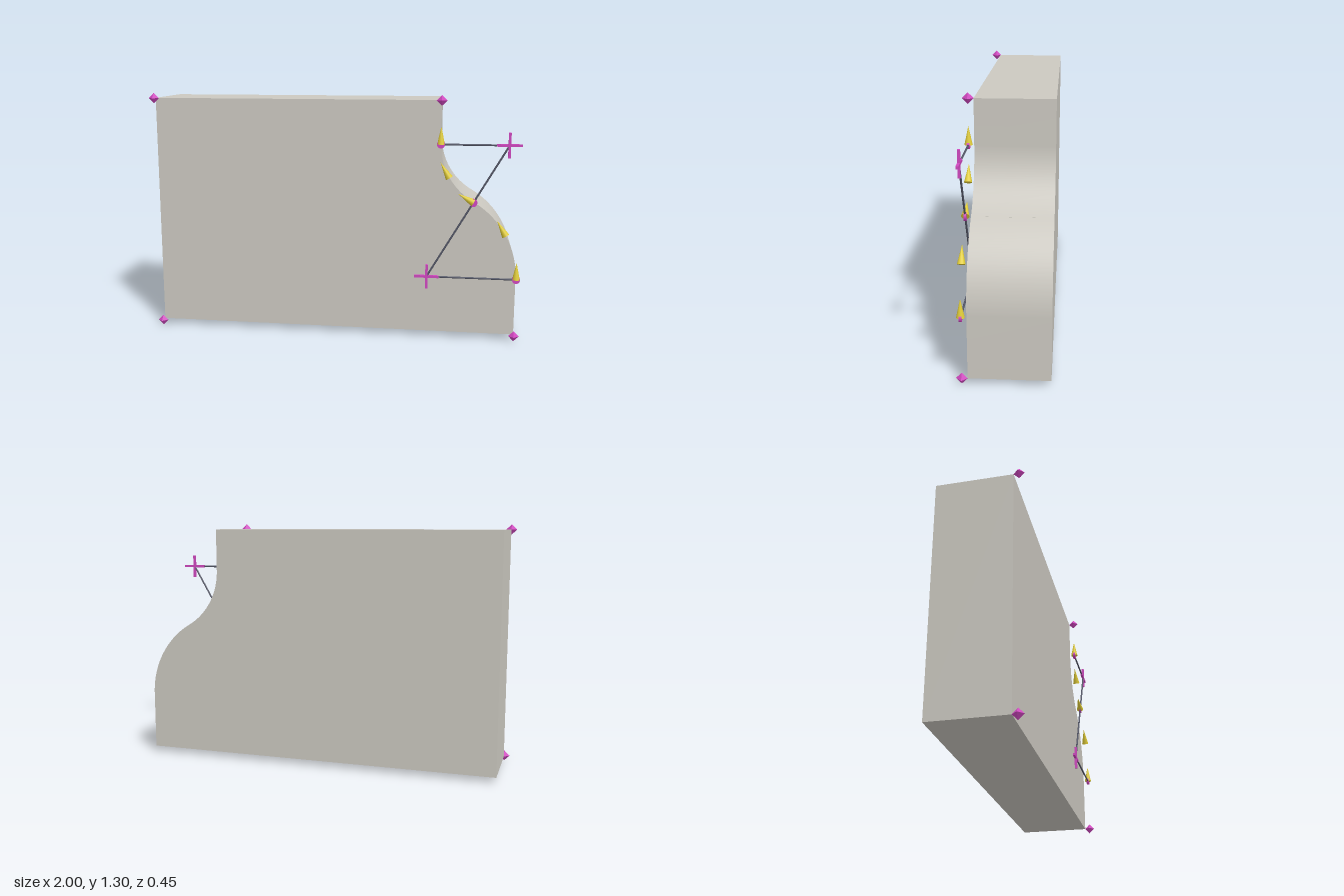
import * as THREE from 'three';
import { toCreasedNormals } from 'three/addons/utils/BufferGeometryUtils.js';

const stone = new THREE.MeshStandardMaterial({ name: 'warm grey', color: 0xcbc8c0 });
const magenta = new THREE.MeshStandardMaterial({ name: 'magenta', color: 0xd048c0 });
const yellow = new THREE.MeshStandardMaterial({ name: 'yellow', color: 0xe0cc38 });
const slate = new THREE.MeshStandardMaterial({ name: 'dark slate', color: 0x555868 });

// Outline of the moulding: two tangent arcs meeting on the line between their centres
const LEFT = -0.971, RIGHT = 0.971, BOTTOM = 0.028, TOP = 1.272, STEP = 0.563;
const BACK = -0.223, FRONT = 0.168, MARK_Z = 0.195;
const lower = { x: 0.503, y: 0.34, r: 0.468 };
const upper = { x: 0.911, y: 1.047, r: 0.348 };
const rad = THREE.MathUtils.degToRad;

const onArc = (arc, deg) => new THREE.Vector3(
  arc.x + arc.r * Math.cos(rad(deg)), arc.y + arc.r * Math.sin(rad(deg)), MARK_Z);

export function createModel() {
  const model = new THREE.Group();
  model.name = 'ogeeProfileDiagram';

  const add = (name, geometry, material, position) => {
    const mesh = new THREE.Mesh(geometry, material);
    mesh.name = name;
    if (position) mesh.position.copy(position);
    model.add(mesh);
    return mesh;
  };
  const up = new THREE.Vector3(0, 1, 0);

  // Extruded moulding block
  const shape = new THREE.Shape();
  shape.moveTo(LEFT, BOTTOM);
  shape.lineTo(RIGHT, BOTTOM);
  shape.absarc(lower.x, lower.y, lower.r, 0, rad(60), false);
  shape.absarc(upper.x, upper.y, upper.r, rad(240), rad(180), true);
  shape.lineTo(STEP, TOP);
  shape.lineTo(LEFT, TOP);
  shape.closePath();
  const block = new THREE.ExtrudeGeometry(shape, {
    depth: FRONT - BACK, bevelEnabled: false, curveSegments: 32 });
  block.translate(0, 0, BACK);
  add('mouldingBlock', toCreasedNormals(block, rad(30)), stone);

  // Diamonds on the straight corners
  for (const [x, y] of [[LEFT, BOTTOM], [RIGHT, BOTTOM], [STEP, TOP], [LEFT, TOP]]) {
    add('cornerDiamond', new THREE.OctahedronGeometry(0.028), magenta, new THREE.Vector3(x, y, MARK_Z));
  }

  // Small discs where the arcs begin and end
  const start = onArc(lower, 0), joint = onArc(lower, 60), end = onArc(upper, 180);
  const disc = new THREE.CylinderGeometry(0.021, 0.021, 0.013, 20).rotateX(Math.PI / 2);
  for (const p of [start, joint, end]) add('arcEndDisc', disc, magenta, p);

  // Crosses at the arc centres, with radius rods to the arc ends
  for (const [arc, ends] of [[lower, [start, joint]], [upper, [joint, end]]]) {
    const centre = new THREE.Vector3(arc.x, arc.y, MARK_Z);
    add('centreCrossBar', new THREE.BoxGeometry(0.13, 0.013, 0.013), magenta, centre);
    add('centreCrossPost', new THREE.BoxGeometry(0.013, 0.13, 0.013), magenta, centre);
    for (const p of ends) {
      const along = p.clone().sub(centre);
      const rod = add('radiusRod', new THREE.CylinderGeometry(0.005, 0.005, along.length(), 8),
        slate, centre.clone().add(p).multiplyScalar(0.5));
      rod.quaternion.setFromUnitVectors(up, along.normalize());
    }
  }

  // Direction cones: base on the curve, tip along the tangent
  const cone = new THREE.ConeGeometry(0.02, 0.092, 16).translate(0, 0.046, 0);
  for (const [arc, deg, tilt] of [[lower, 0, 0], [lower, 30, 30], [lower, 60, 60], [upper, 210, 30], [upper, 180, 0]]) {
    add('directionCone', cone, yellow, onArc(arc, deg)).rotation.z = rad(tilt);
  }

  return model;
}
